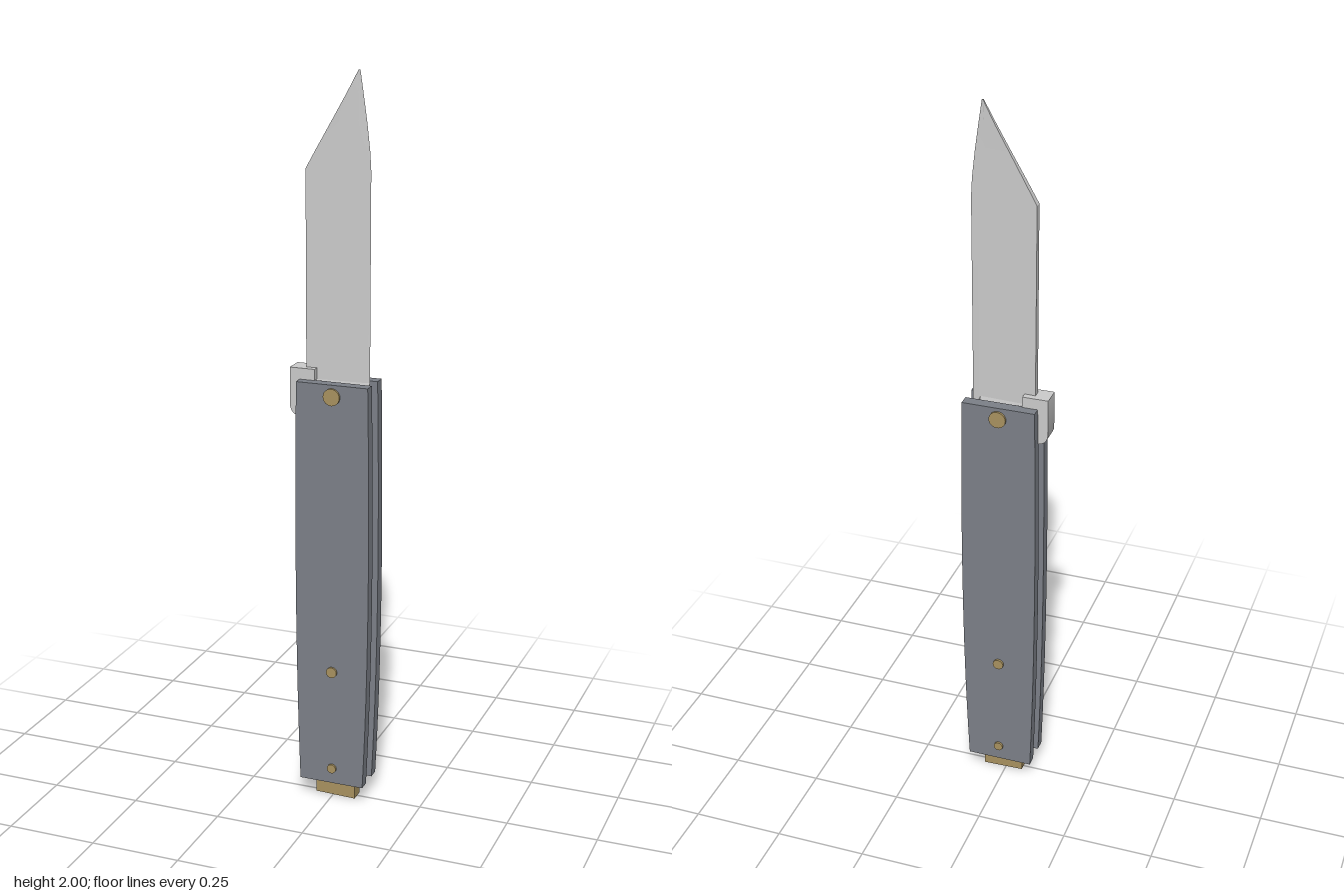
import * as THREE from 'three';
import { toCreasedNormals } from 'three/addons/utils/BufferGeometryUtils.js';

const material = (color) => new THREE.MeshStandardMaterial({ color });
const steel = material(0xcccccc);
const scaleGrey = material(0x7c8088);
const brass = material(0xa89260);

// Extrudes a side outline, centred on depth z
function plate(name, shape, depth, z, mat) {
  const geo = new THREE.ExtrudeGeometry(shape, { depth, bevelEnabled: false, curveSegments: 24 });
  geo.translate(0, 0, z - depth / 2);
  const mesh = new THREE.Mesh(toCreasedNormals(geo, 0.6), mat);
  mesh.name = name;
  return mesh;
}

// Wedge-section loft; each row is [y, spineX, shoulderX, edgeX, spineHalf, shoulderHalf]
function blade() {
  const rows = [
    [1.02, -0.07, 0.08, 0.098, 0.02, 0.016],
    [1.14, -0.075, 0.08, 0.098, 0.02, 0.016],
    [1.2, -0.078, 0.075, 0.096, 0.01, 0.0025],
    [1.75, -0.078, 0.07, 0.096, 0.009, 0.002],
    [1.80, -0.05, 0.068, 0.093, 0.008, 0.002],
    [1.87, -0.01, 0.062, 0.085, 0.006, 0.002],
    [1.94, 0.03, 0.06, 0.075, 0.005, 0.002],
    [2.0, 0.062, 0.064, 0.066, 0.0025, 0.001],
  ];
  const pos = [], idx = [], n = 5;
  for (const [y, a, b, c, s, m] of rows) {
    pos.push(a, y, s, b, y, m, c, y, 0, b, y, -m, a, y, -s);
  }
  for (let r = 0; r < rows.length - 1; r++) {
    for (let j = 0; j < n; j++) {
      const p = r * n + j, q = r * n + (j + 1) % n;
      idx.push(p, q, q + n, p, q + n, p + n);
    }
  }
  const top = (rows.length - 1) * n;
  for (let j = 1; j < n - 1; j++) {
    idx.push(0, j + 1, j, top, top + j, top + j + 1);
  }
  const geo = new THREE.BufferGeometry();
  geo.setAttribute('position', new THREE.Float32BufferAttribute(pos, 3));
  geo.setIndex(idx);
  const mesh = new THREE.Mesh(toCreasedNormals(geo, 0.12), steel);
  mesh.name = 'blade';
  return mesh;
}

export function createModel() {
  const group = new THREE.Group();
  group.add(blade());

  // Two gently bulging handle scales
  const side = new THREE.Shape();
  side.moveTo(-0.084, 0.055);
  side.lineTo(0.099, 0.055);
  side.bezierCurveTo(0.116, 0.4, 0.117, 0.8, 0.109, 1.2);
  side.lineTo(-0.09, 1.2);
  side.bezierCurveTo(-0.097, 0.8, -0.096, 0.4, -0.084, 0.055);
  group.add(plate('frontHandleScale', side, 0.031, 0.0375, scaleGrey));
  group.add(plate('backHandleScale', side, 0.031, -0.0375, scaleGrey));

  // Pins running through both scales: name, height, radius
  for (const [name, y, r] of [['pivotPin', 1.168, 0.023], ['middlePin', 0.39, 0.015], ['lowerPin', 0.1, 0.013]]) {
    const pin = new THREE.Mesh(new THREE.CylinderGeometry(r, r, 0.118, 24), brass);
    pin.rotation.x = Math.PI / 2;
    pin.position.set(0.01, y, 0);
    pin.name = name;
    group.add(pin);
  }

  // Brass spacer at the butt
  const spacer = new THREE.Shape();
  spacer.moveTo(-0.049, 0.003);
  spacer.lineTo(0.065, 0);
  spacer.lineTo(0.065, 0.16);
  spacer.lineTo(-0.049, 0.16);
  group.add(plate('buttSpacer', spacer, 0.04, 0, brass));

  // Thumb lever overhanging the spine
  const lever = new THREE.Shape();
  lever.moveTo(-0.118, 1.23);
  lever.lineTo(-0.118, 1.125);
  lever.quadraticCurveTo(-0.113, 1.1, -0.09, 1.1);
  lever.lineTo(-0.08, 1.17);
  lever.quadraticCurveTo(-0.075, 1.2, -0.048, 1.2);
  lever.lineTo(-0.048, 1.23);
  group.add(plate('thumbLever', lever, 0.054, 0, steel));

  return group;
}
